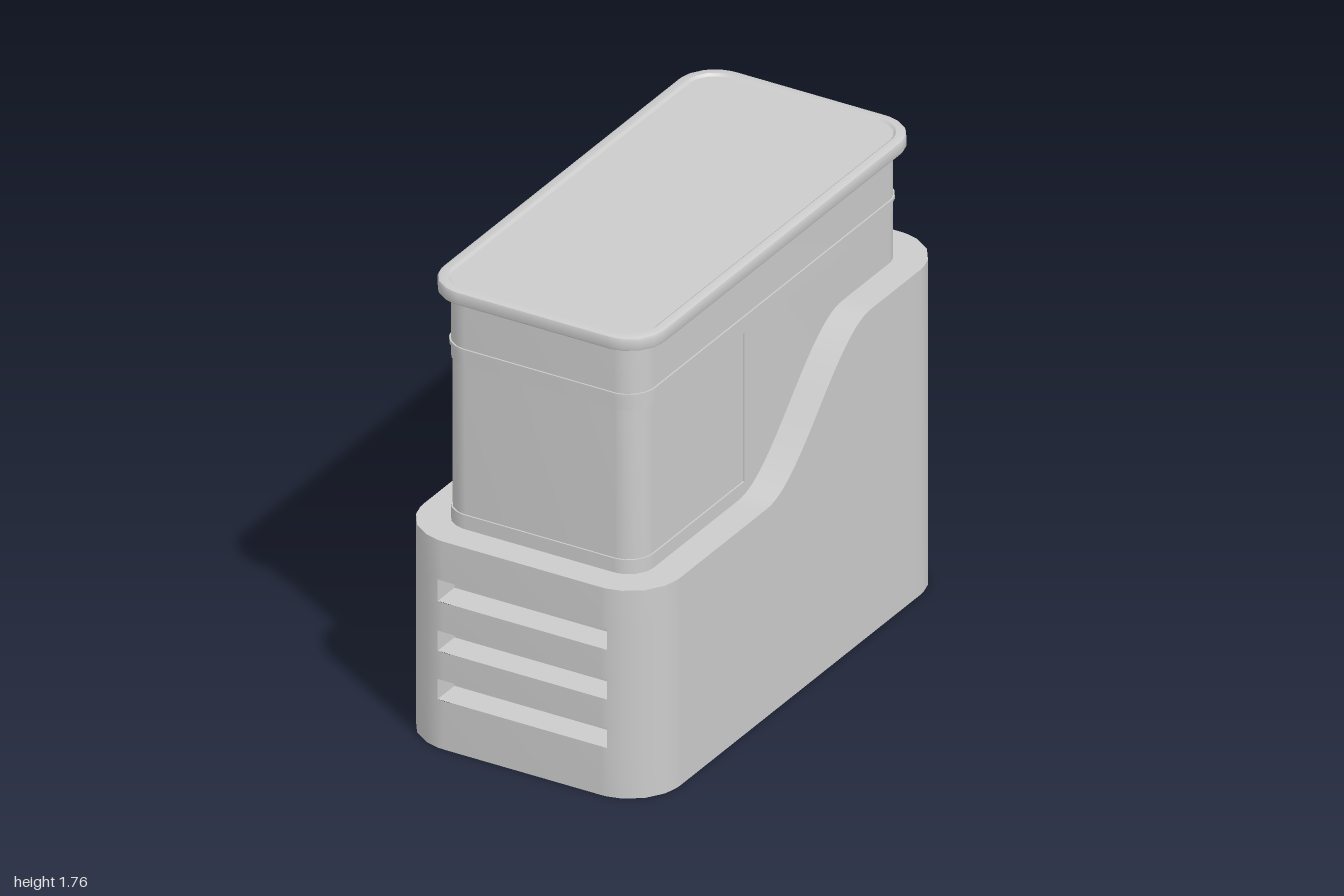
import * as THREE from 'three';
import { toCreasedNormals } from 'three/addons/utils/BufferGeometryUtils.js';

const material = new THREE.MeshStandardMaterial({ color: 0xcccccc });
const CREASE = 0.55;

// Rounded rectangle in the xz plane; the long sides are sampled at shared z steps.
const CORNER_STEPS = [0, 0.077, 0.25, 0.5, 0.75, 0.923, 1];
function footprint(hx, hz, r, sideSteps = 0) {
  const pts = [];
  const side = (x, dir) => {
    for (let i = 0; i <= sideSteps && sideSteps; i++) {
      pts.push([x, dir * (-0.75 + (1.5 * i) / sideSteps)]);
    }
  };
  [[1, 1], [-1, 1], [-1, -1], [1, -1]].forEach(([sx, sz], k) => {
    for (const f of CORNER_STEPS) {
      const a = (k + f) * Math.PI / 2;
      pts.push([sx * (hx - r) + r * Math.cos(a), sz * (hz - r) + r * Math.sin(a)]);
    }
    if (k === 1) side(-hx, -1);
    if (k === 3) side(hx, 1);
  });
  return pts;
}

const ring = (pts, y) => pts.map(([x, z]) =>
  new THREE.Vector3(x, typeof y === 'function' ? y(z) : y, z));

// Skin a list of closed rings, running up the outside; skip() leaves openings.
function skin(rings, skip = () => false) {
  const pos = [];
  const tri = (a, b, c) => {
    if (a.equals(b) || b.equals(c) || a.equals(c)) return;
    for (const p of [a, b, c]) pos.push(p.x, p.y, p.z);
  };
  for (let j = 0; j < rings.length - 1; j++) {
    const n = rings[j].length;
    for (let i = 0; i < n; i++) {
      const k = (i + 1) % n;
      const a = rings[j][i], b = rings[j][k], c = rings[j + 1][k], d = rings[j + 1][i];
      if (skip(j, a, b)) continue;
      tri(a, d, c);
      tri(a, c, b);
    }
  }
  const g = new THREE.BufferGeometry();
  g.setAttribute('position', new THREE.Float32BufferAttribute(pos, 3));
  return toCreasedNormals(g, CREASE);
}

// Solid slab of a footprint between two heights.
function slab(pts, y0, y1) {
  const shape = new THREE.Shape(pts.map(([x, z]) => new THREE.Vector2(x, -z)));
  const g = new THREE.ExtrudeGeometry(shape, { depth: y1 - y0, bevelEnabled: false });
  g.rotateX(-Math.PI / 2).translate(0, y0, 0);
  return toCreasedNormals(g, CREASE);
}

export function createModel() {
  const model = new THREE.Group();
  const add = (name, geometry) => {
    const mesh = new THREE.Mesh(geometry, material);
    mesh.name = name;
    model.add(mesh);
    return mesh;
  };

  // Outer shell: low at the front, sweeping up to a high back
  const rimHeight = z => {
    const t = THREE.MathUtils.clamp((0.22 - z) / 0.69, 0, 1);
    return 0.815 + 0.46 * t * t * (3 - 2 * t);
  };
  const outer = footprint(0.516, 1, 0.2, 60);
  const inner = footprint(0.4, 0.885, 0.1, 60);
  const slots = [[0.19, 0.27], [0.38, 0.46], [0.575, 0.66]];
  const levels = [0, ...slots.flat(), rimHeight];
  const isSlot = (j, a, b) => [2, 4, 6].includes(j) && a.z > 0.99 && b.z > 0.99 &&
    Math.abs(a.x + b.x) / 2 < 0.335;
  add('shell', skin([
    ring(inner, 0), ...levels.map(y => ring(outer, y)), ring(inner, rimHeight),
  ], isSlot));

  // Vent slots: inward-facing boxes without their front face
  for (const [y0, y1] of slots) {
    const g = new THREE.BoxGeometry(0.68, y1 - y0, 0.112);
    const index = Array.from(g.index.array);
    index.splice(24, 6);
    g.setIndex(index.reverse());
    g.setAttribute('normal', new THREE.Float32BufferAttribute(
      Array.from(g.attributes.normal.array, v => -v), 3));
    add('ventSlot', g).position.set(0, (y0 + y1) / 2, 0.9425);
  }

  // Inner container, with a shallow recessed panel wrapping the front
  const body = footprint(0.4, 0.885, 0.1);
  const rear = [[0.4, 0.18], [-0.4, 0.18], ...body.filter(p => p[1] < 0.18)];
  add('containerBase', slab(body, 0, 0.87));
  add('frontPanel', slab(footprint(0.394, 0.879, 0.094), 0.87, 1.455));
  add('containerRear', slab(rear, 0.87, 1.455));
  add('containerTop', slab(body, 1.455, 1.715));
  add('band', slab(footprint(0.406, 0.891, 0.106), 1.508, 1.522));

  // Lid with softened edges and a slightly sunken top
  const center = y => ring(body.map(() => [0, 0]), y);
  const lidProfile = [
    [0.012, 1.71], [0.003, 1.714], [0, 1.722], [0, 1.753], [0.003, 1.761], [0.012, 1.765],
    [0.036, 1.765], [0.046, 1.757],
  ];
  add('lid', skin([
    center(1.71),
    ...lidProfile.map(([d, y]) => ring(footprint(0.447 - d, 0.93 - d, 0.145 - d), y)),
    center(1.757),
  ]));
  return model;
}
